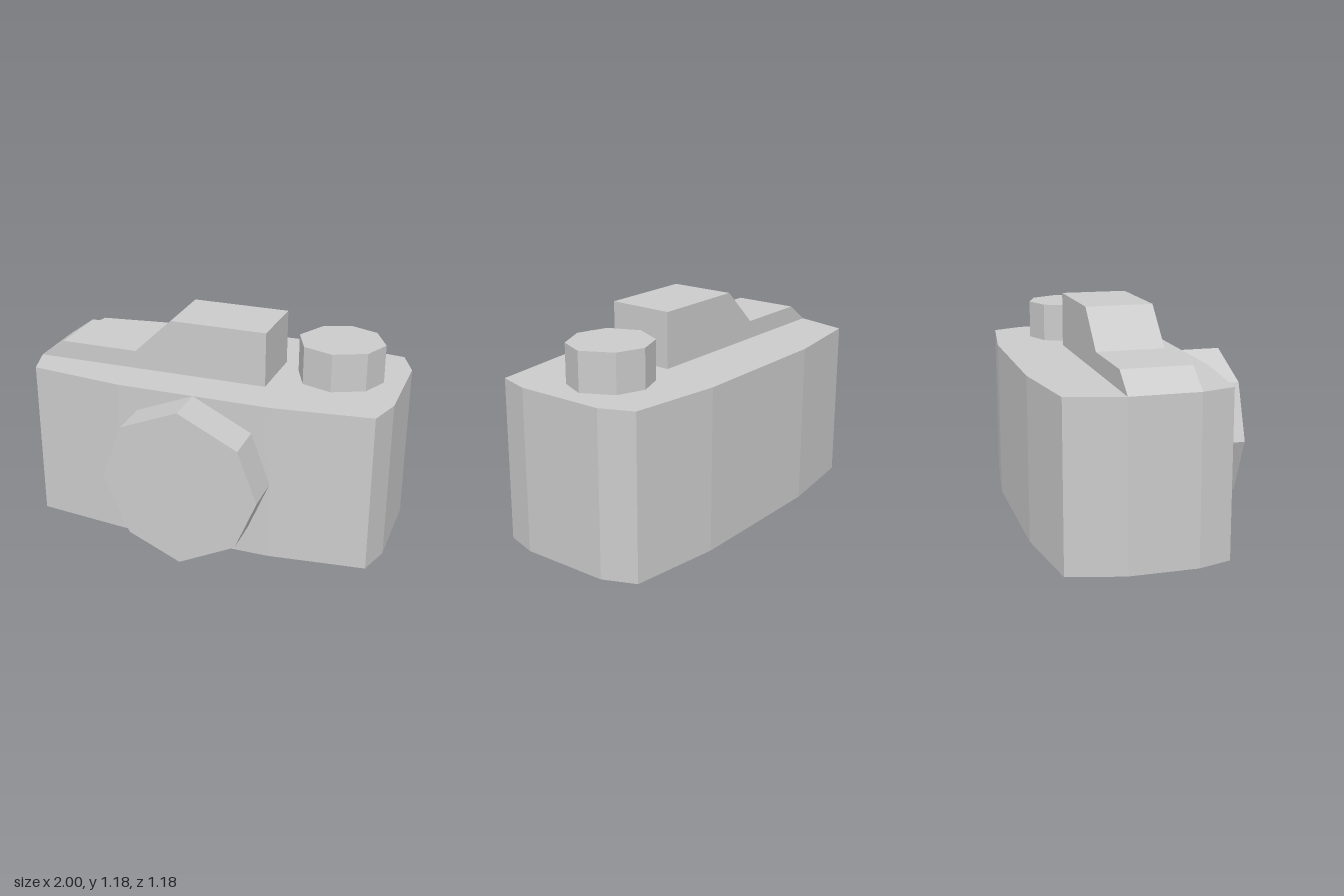
import * as THREE from 'three';

const material = new THREE.MeshStandardMaterial({ color: 0xcccccc, flatShading: true });

// Straight prism from a 2D outline
function prism(points, depth) {
  const shape = new THREE.Shape(points.map(([x, y]) => new THREE.Vector2(x, y)));
  return new THREE.ExtrudeGeometry(shape, { depth, bevelEnabled: false });
}

// Prism standing upright on a plan outline given as [x, z]
function uprightPrism(plan, y, height) {
  return prism(plan.map(([x, z]) => [x, -z]), height).rotateX(-Math.PI / 2).translate(0, y, 0);
}

export function createModel() {
  const group = new THREE.Group();
  const add = (name, geometry) => {
    const mesh = new THREE.Mesh(geometry, material);
    mesh.name = name;
    group.add(mesh);
  };
  const bodyTop = 0.88;

  // Main body with chamfered corners and slightly bowed front and back
  add('body', uprightPrism([
    [-1, 0.13], [-0.945, 0.31], [-0.425, 0.37], [0.425, 0.37], [0.945, 0.31], [1, 0.13],
    [1, -0.355], [0.925, -0.527], [0.425, -0.594], [-0.43, -0.594], [-0.925, -0.527], [-1, -0.235],
  ], 0, bodyTop));

  // Eight-sided lens barrel, slightly irregular
  add('lens', prism([
    [0, 0.88], [-0.315, 0.75], [-0.425, 0.445], [-0.285, 0.13],
    [0, 0.002], [0.31, 0.16], [0.425, 0.44], [0.32, 0.72],
  ], 0.23).translate(0, 0, 0.36));

  // Stepped viewfinder housing, its right end slightly skewed
  const housing = prism([
    [-1, bodyTop], [0.32, bodyTop], [0.32, 1.18], [-0.215, 1.18], [-0.425, 0.98], [-0.86, 0.98],
  ], 0.365).translate(0, 0, -0.235);
  const pos = housing.attributes.position;
  for (let i = 0; i < pos.count; i++) {
    if (pos.getX(i) > 0.3) pos.setX(i, pos.getZ(i) < 0 ? 0.325 : 0.315);
  }
  housing.computeVertexNormals();
  add('viewfinderHousing', housing);

  // Eight-sided dial
  add('dial', uprightPrism([
    [0.42, -0.14], [0.49, 0.025], [0.655, 0.08], [0.825, 0.005],
    [0.89, -0.14], [0.805, -0.305], [0.655, -0.36], [0.505, -0.305],
  ], bodyTop, 0.21));

  return group;
}
